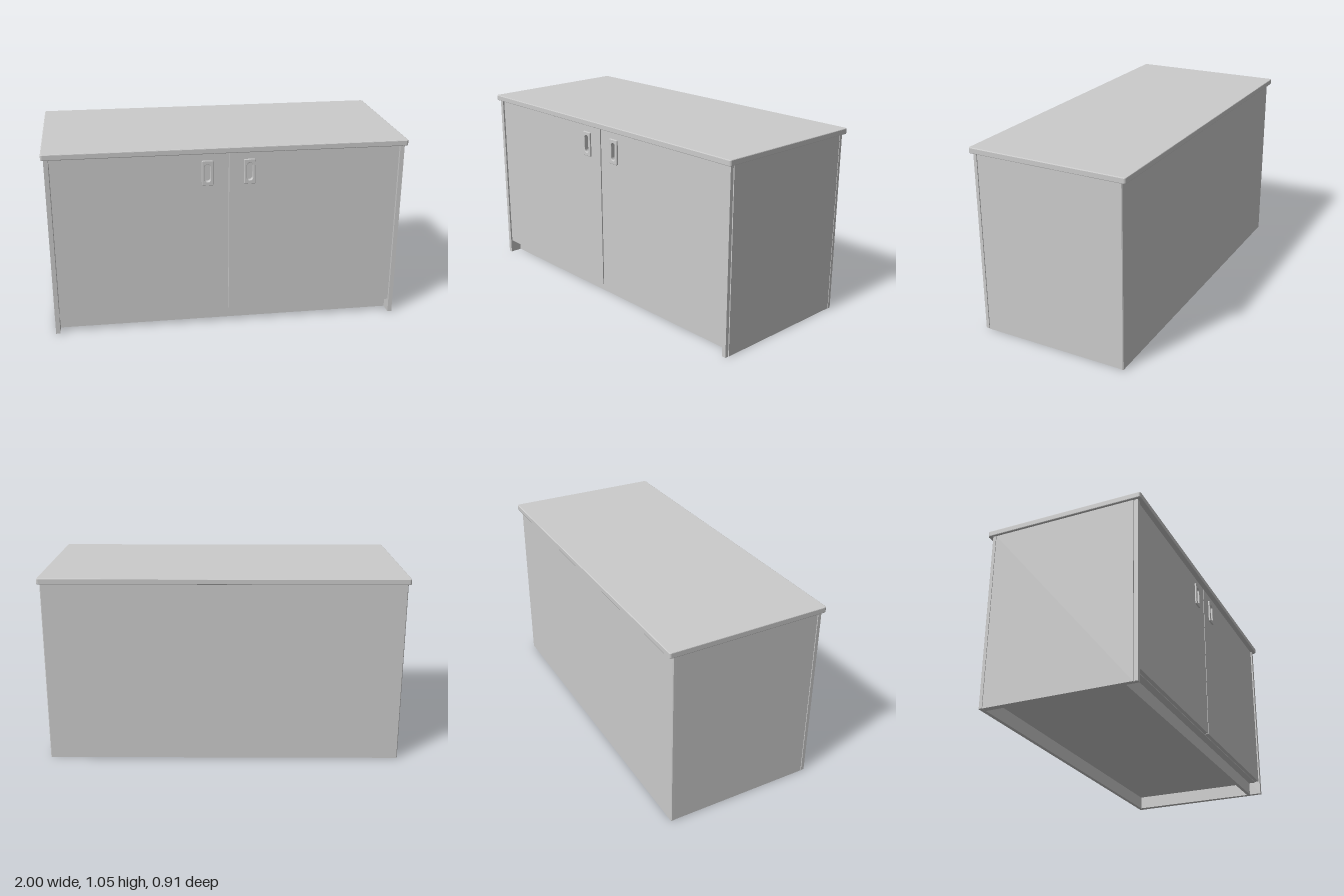
import * as THREE from 'three';

const material = new THREE.MeshStandardMaterial({ color: 0xcccccc });

function add(parent, name, geometry, x = 0, y = 0, z = 0) {
  const mesh = new THREE.Mesh(geometry, material);
  mesh.name = name;
  mesh.position.set(x, y, z);
  parent.add(mesh);
  return mesh;
}

// box given by its low and high corners
function slab(parent, name, [x0, y0, z0], [x1, y1, z1]) {
  const geometry = new THREE.BoxGeometry(x1 - x0, y1 - y0, z1 - z0);
  return add(parent, name, geometry, (x0 + x1) / 2, (y0 + y1) / 2, (z0 + z1) / 2);
}

// plan outline in (x, z), raised straight up
function raise(points, height, bevel = 0) {
  const shape = new THREE.Shape(points.map(([x, z]) => new THREE.Vector2(x, -z)));
  return new THREE.ExtrudeGeometry(shape, {
    depth: height - 2 * bevel, bevelEnabled: bevel > 0, bevelSize: bevel,
    bevelThickness: bevel, bevelOffset: -bevel, bevelSegments: 2,
  }).translate(0, 0, bevel).rotateX(-Math.PI / 2);
}

// rounded rectangle centred on (cx, cy)
function roundRect(path, cx, cy, w, h, r) {
  const x = cx - w / 2, y = cy - h / 2;
  path.moveTo(x + r, y);
  path.lineTo(x + w - r, y);
  path.absarc(x + w - r, y + r, r, -Math.PI / 2, 0);
  path.lineTo(x + w, y + h - r);
  path.absarc(x + w - r, y + h - r, r, 0, Math.PI / 2);
  path.lineTo(x + r, y + h);
  path.absarc(x + r, y + h - r, r, Math.PI / 2, Math.PI);
  path.lineTo(x, y + r);
  path.absarc(x + r, y + r, r, Math.PI, Math.PI * 1.5);
  return path;
}

export function createModel() {
  const cabinet = new THREE.Group();
  cabinet.name = 'cabinet';

  // worktop: a touch narrower at the front, with softened corners
  const r = 0.012;
  const top = [];
  for (const [x, z, start] of [[0.988, 0.455, 0], [-0.988, 0.455, 1], [-1, -0.455, 2], [1, -0.455, 3]]) {
    for (let i = 0; i <= 4; i++) {
      const a = (start + i / 4) * Math.PI / 2;
      top.push([x - Math.sign(x) * r + r * Math.cos(a), z - Math.sign(z) * r + r * Math.sin(a)]);
    }
  }
  add(cabinet, 'worktop', raise(top, 0.032, 0.004), 0, 1.025, 0);

  // side panels with a shallow groove behind the front edge strip
  for (const s of [1, -1]) {
    const side = [
      [0.95, 0.435], [0.974, 0.435], [0.975, 0.416], [0.969, 0.416],
      [0.969, 0.411], [0.976, 0.411], [0.986, -0.408], [0.95, -0.408],
    ].map(([x, z]) => [s * x, z]);
    add(cabinet, s > 0 ? 'leftSide' : 'rightSide', raise(side, 1.021), 0, 0.004, 0);
  }

  // back, floor, kickboard and the rail under the worktop
  add(cabinet, 'backPanel', raise([
    [0.988, -0.409], [0.988, -0.426], [0.984, -0.43],
    [-0.984, -0.43], [-0.988, -0.426], [-0.988, -0.409],
  ], 1.021), 0, 0.004, 0);
  slab(cabinet, 'floor', [-0.95, 0.08, -0.409], [0.95, 0.1, 0.405]);
  slab(cabinet, 'kickboard', [-0.95, 0.004, 0.345], [0.95, 0.082, 0.365]);
  slab(cabinet, 'topRail', [-0.95, 0.985, 0.36], [0.95, 1.025, 0.4]);
  slab(cabinet, 'centrePost', [-0.02, 0.1, 0.38], [0.02, 0.985, 0.4]);

  // doors with recessed finger pulls
  const hx = 0.115, hy = 0.912;
  for (const s of [1, -1]) {
    const door = new THREE.Group();
    door.name = s > 0 ? 'leftDoor' : 'rightDoor';
    cabinet.add(door);

    const leaf = new THREE.Shape();
    roundRect(leaf, s * 0.4755, 0.552, 0.943, 0.938, 0.003);
    leaf.holes.push(roundRect(new THREE.Path(), s * hx, hy, 0.034, 0.1, 0.0165));
    add(door, 'doorLeaf', new THREE.ExtrudeGeometry(leaf, { depth: 0.022, bevelEnabled: false }), 0, 0, 0.406);

    const plate = roundRect(new THREE.Shape(), 0, 0, 0.062, 0.14, 0.006);
    plate.holes.push(roundRect(new THREE.Path(), 0, 0, 0.032, 0.098, 0.0155));
    add(door, 'pullPlate', new THREE.ExtrudeGeometry(plate, {
      depth: 0.006, bevelThickness: 0.003, bevelSize: 0.003, bevelOffset: -0.003, bevelSegments: 2,
    }), s * hx, hy, 0.429);
    slab(door, 'pullCup', [s * hx - 0.025, hy - 0.06, 0.4], [s * hx + 0.025, hy + 0.06, 0.412]);
  }
  return cabinet;
}
